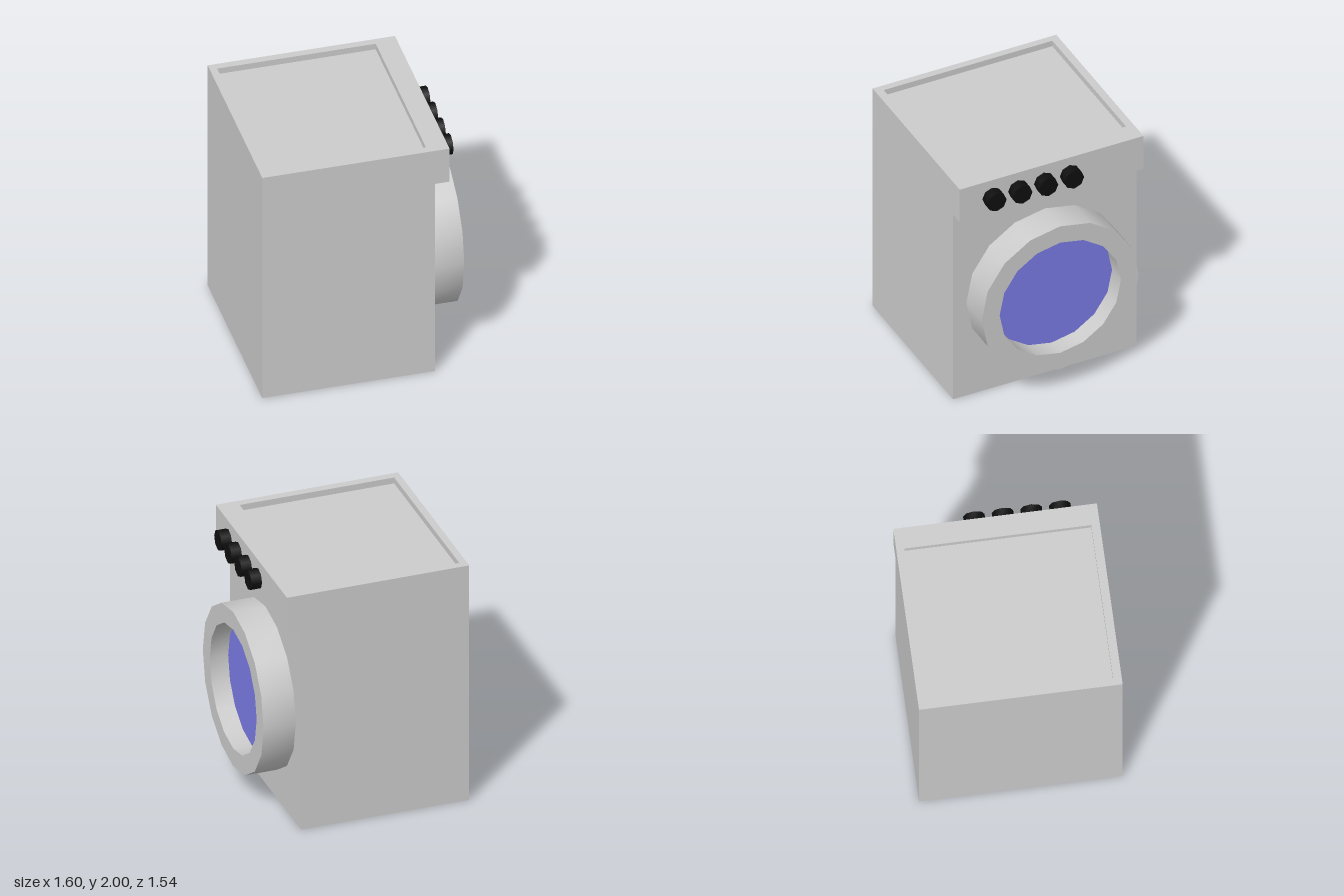
import * as THREE from 'three';
import { toCreasedNormals } from 'three/addons/utils/BufferGeometryUtils.js';

const GREY = 0xcccccc, BLUE = 0x7a7ae6, BLACK = 0x0f0f0f;
const HALF_DEPTH = 0.768, FLOOR_Y = 1.95;

function addMesh(group, name, geometry, color) {
  const mesh = new THREE.Mesh(geometry, new THREE.MeshStandardMaterial({ color }));
  mesh.name = name;
  group.add(mesh);
  return mesh;
}

const toPoints = (pairs) => pairs.map(([x, y]) => new THREE.Vector2(x, y));

const rectangle = (x0, x1, y0, y1) => toPoints([[x0, y0], [x1, y0], [x1, y1], [x0, y1]]);

export function createModel() {
  const machine = new THREE.Group();
  machine.name = 'washingMachine';

  // Cabinet: side profile with an overhanging control panel, extruded along z
  const profile = new THREE.Shape(toPoints([
    [-0.8, 0], [0.54, 0], [0.54, 1.7], [0.652, 1.7], [0.652, FLOOR_Y], [-0.8, FLOOR_Y],
  ]));
  const cabinet = new THREE.ExtrudeGeometry(profile, { depth: 2 * HALF_DEPTH, bevelEnabled: false });
  cabinet.translate(0, 0, -HALF_DEPTH);
  addMesh(machine, 'cabinet', cabinet, GREY);

  // Raised rim that leaves a shallow recess in the top
  const rimShape = new THREE.Shape(rectangle(-0.8, 0.652, -HALF_DEPTH, HALF_DEPTH));
  rimShape.holes.push(new THREE.Path(rectangle(-0.744, 0.486, -0.703, 0.707)));
  const rim = new THREE.ExtrudeGeometry(rimShape, { depth: 2 - FLOOR_Y, bevelEnabled: false });
  rim.rotateX(-Math.PI / 2).translate(0, FLOOR_Y, 0);
  addMesh(machine, 'topRim', rim, GREY);

  // Door: thick ring with a recessed window
  const door = new THREE.Group();
  door.name = 'door';
  door.position.set(0.54, 0.852, 0);
  machine.add(door);

  const section = toPoints([[0.657, 0], [0.657, 0.257], [0.507, 0.257], [0.507, 0], [0.657, 0]]);
  const ring = toCreasedNormals(new THREE.LatheGeometry(section, 16), 0.6);
  ring.rotateZ(-Math.PI / 2);
  addMesh(door, 'doorRing', ring, GREY);

  const glass = new THREE.CircleGeometry(0.507, 16).rotateY(Math.PI / 2);
  addMesh(door, 'doorWindow', glass, BLUE).position.x = 0.11;

  // Row of four octagonal knobs on the control panel
  const knob = toCreasedNormals(new THREE.CylinderGeometry(0.081, 0.081, 0.085, 8), 0.9);
  knob.rotateZ(-Math.PI / 2);
  for (let i = 0; i < 4; i++) {
    addMesh(machine, 'knob' + (i + 1), knob, BLACK).position.set(0.6925, 1.85, 0.498 - i * 0.216);
  }

  return machine;
}
